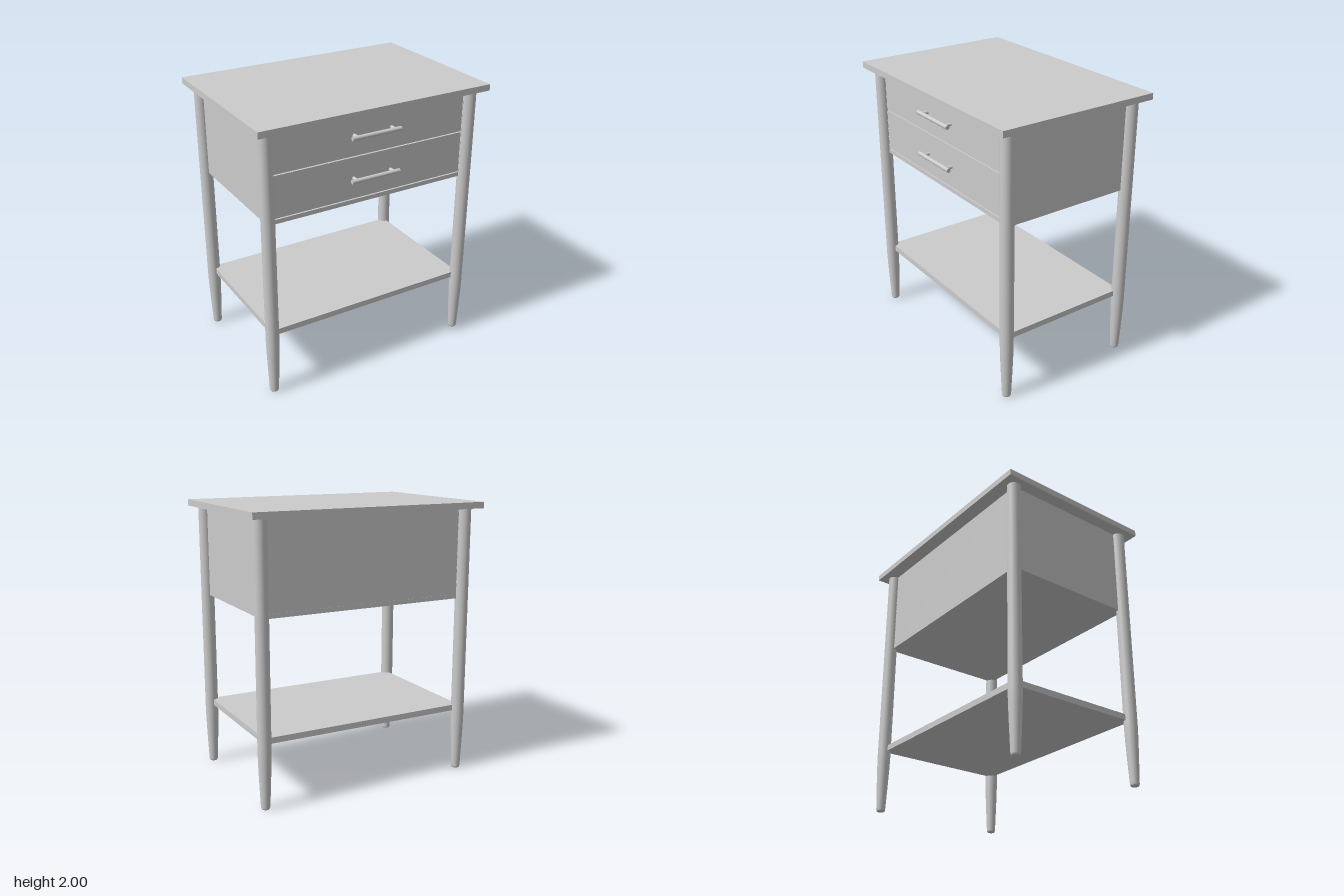
import * as THREE from 'three';

const material = new THREE.MeshStandardMaterial({ color: 0xcccccc });

function add(parent, name, geometry, x = 0, y = 0, z = 0) {
  const mesh = new THREE.Mesh(geometry, material);
  mesh.name = name;
  mesh.position.set(x, y, z);
  parent.add(mesh);
  return mesh;
}

// Box given by its width, depth and bottom/top heights
function slab(parent, name, width, depth, y0, y1, x = 0, z = 0) {
  return add(parent, name, new THREE.BoxGeometry(width, y1 - y0, depth), x, (y0 + y1) / 2, z);
}

const LEG_X = 0.785, LEG_Z = 0.502;
const CASE_BOTTOM = 1.307, CASE_TOP = 1.955;

// Round leg: straight above, tapered below, with a softened foot
function legGeometry() {
  const profile = [
    [0, 0], [0.024, 0], [0.029, 0.004], [0.032, 0.014], [0.036, 0.1],
    [0.041, 0.22], [0.045, 0.33], [0.047, 0.42], [0.047, CASE_TOP],
  ].map(([r, y]) => new THREE.Vector2(r, y));
  return new THREE.LatheGeometry(profile, 40);
}

// Bar handle standing on two short posts
function makeHandle(y) {
  const handle = new THREE.Group();
  handle.name = 'handle';
  handle.position.set(0, y, 0.55);
  const bar = add(handle, 'handleBar', new THREE.CylinderGeometry(0.015, 0.015, 0.376, 24));
  bar.rotation.z = Math.PI / 2;
  for (const side of [-1, 1]) {
    const post = add(handle, 'handlePost', new THREE.CylinderGeometry(0.012, 0.012, 0.055, 20), side * 0.145, 0, -0.0275);
    post.rotation.x = Math.PI / 2;
  }
  return handle;
}

export function createModel() {
  const model = new THREE.Group();
  model.name = 'nightstand';

  slab(model, 'tabletop', 1.752, 1.204, CASE_TOP, 2);
  slab(model, 'shelf', LEG_X * 2, LEG_Z * 2, 0.457, 0.5);

  // Legs
  const leg = legGeometry();
  for (const x of [-LEG_X, LEG_X])
    for (const z of [-LEG_Z, LEG_Z]) add(model, 'leg', leg, x, 0, z);

  // Case
  const cabinet = new THREE.Group();
  cabinet.name = 'cabinet';
  model.add(cabinet);
  for (const side of [-1, 1])
    slab(cabinet, 'sidePanel', 0.048, LEG_Z * 2 - 0.004, CASE_BOTTOM, CASE_TOP, side * (LEG_X - 0.024));
  slab(cabinet, 'bottomPanel', 1.474, LEG_Z * 2 - 0.004, CASE_BOTTOM, 1.338);
  slab(cabinet, 'backPanel', 1.474, 0.04, 1.338, CASE_TOP, 0, -0.479);

  // Drawers with narrow gaps around their fronts
  for (const [y0, y1, handleY] of [[1.346, 1.645, 1.496], [1.653, 1.947, 1.8]]) {
    const drawer = new THREE.Group();
    drawer.name = 'drawer';
    slab(drawer, 'drawerFront', 1.466, 0.045, y0, y1, 0, 0.4775);
    drawer.add(makeHandle(handleY));
    model.add(drawer);
  }
  return model;
}
